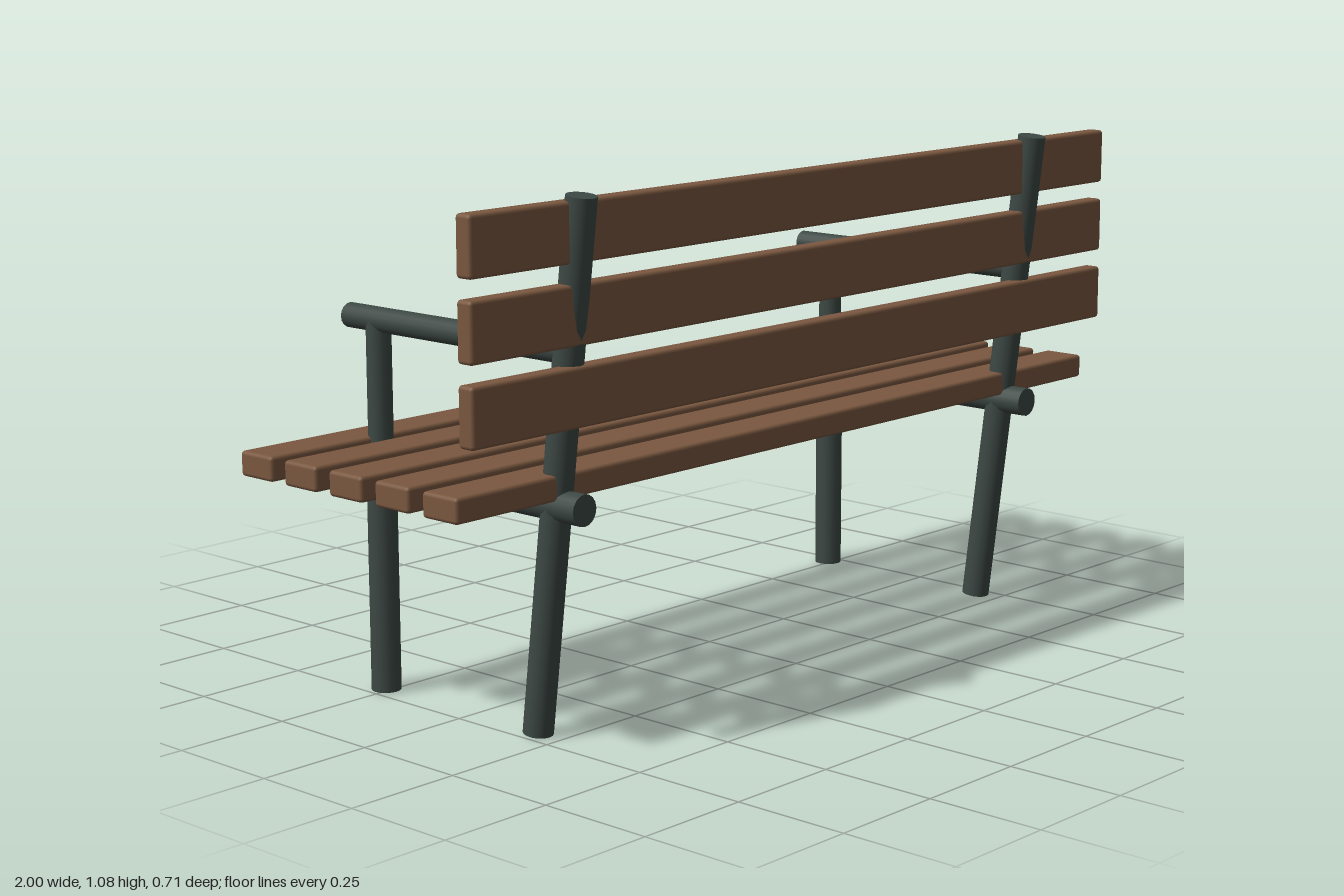
import * as THREE from 'three';
import { RoundedBoxGeometry } from 'three/addons/geometries/RoundedBoxGeometry.js';

const wood = new THREE.MeshStandardMaterial({ color: 0x7a5840 });
const metal = new THREE.MeshStandardMaterial({ color: 0x3d4844 });

// Straight capped pipe between two points given as [y, z], in the plane x
function pipe(name, x, [y0, z0], [y1, z1], radius) {
  const a = new THREE.Vector3(x, y0, z0);
  const b = new THREE.Vector3(x, y1, z1);
  const mesh = new THREE.Mesh(new THREE.CylinderGeometry(radius, radius, a.distanceTo(b), 16), metal);
  mesh.name = name;
  mesh.position.copy(a).lerp(b, 0.5);
  mesh.quaternion.setFromUnitVectors(new THREE.Vector3(0, 1, 0), b.sub(a).normalize());
  return mesh;
}

// Full-width plank with softened edges
function slat(name, height, depth, y, z) {
  const mesh = new THREE.Mesh(new RoundedBoxGeometry(2, height, depth, 2, 0.008), wood);
  mesh.name = name;
  mesh.position.set(0, y, z);
  return mesh;
}

// One pipe side frame: raked back post, front leg, seat rail and armrest
function sideFrame(name, x) {
  const frame = new THREE.Group();
  frame.name = name;
  frame.add(
    pipe('backPost', x, [0.004, 0.191], [1.081, 0.324], 0.031),
    pipe('frontLeg', x, [0.002, -0.257], [0.475, -0.257], 0.031),
    pipe('seatRail', x, [0.475, 0.325], [0.475, -0.354], 0.032),
    pipe('armrestSupport', x, [0.475, -0.257], [0.78, -0.257], 0.026),
    pipe('armrest', x, [0.78, 0.28], [0.78, -0.342], 0.026),
  );
  return frame;
}

export function createModel() {
  const bench = new THREE.Group();
  bench.name = 'bench';
  bench.add(sideFrame('leftFrame', 0.715), sideFrame('rightFrame', -0.715));

  // Five seat slats, front edge to back
  for (let i = 0; i < 5; i++) bench.add(slat('seatSlat', 0.052, 0.096, 0.514, -0.307 + i * 0.1333));

  // Three upright backrest slats
  for (let i = 0; i < 3; i++) bench.add(slat('backSlat', 0.12, 0.04, 0.695 + i * 0.1585, 0.301));

  return bench;
}
